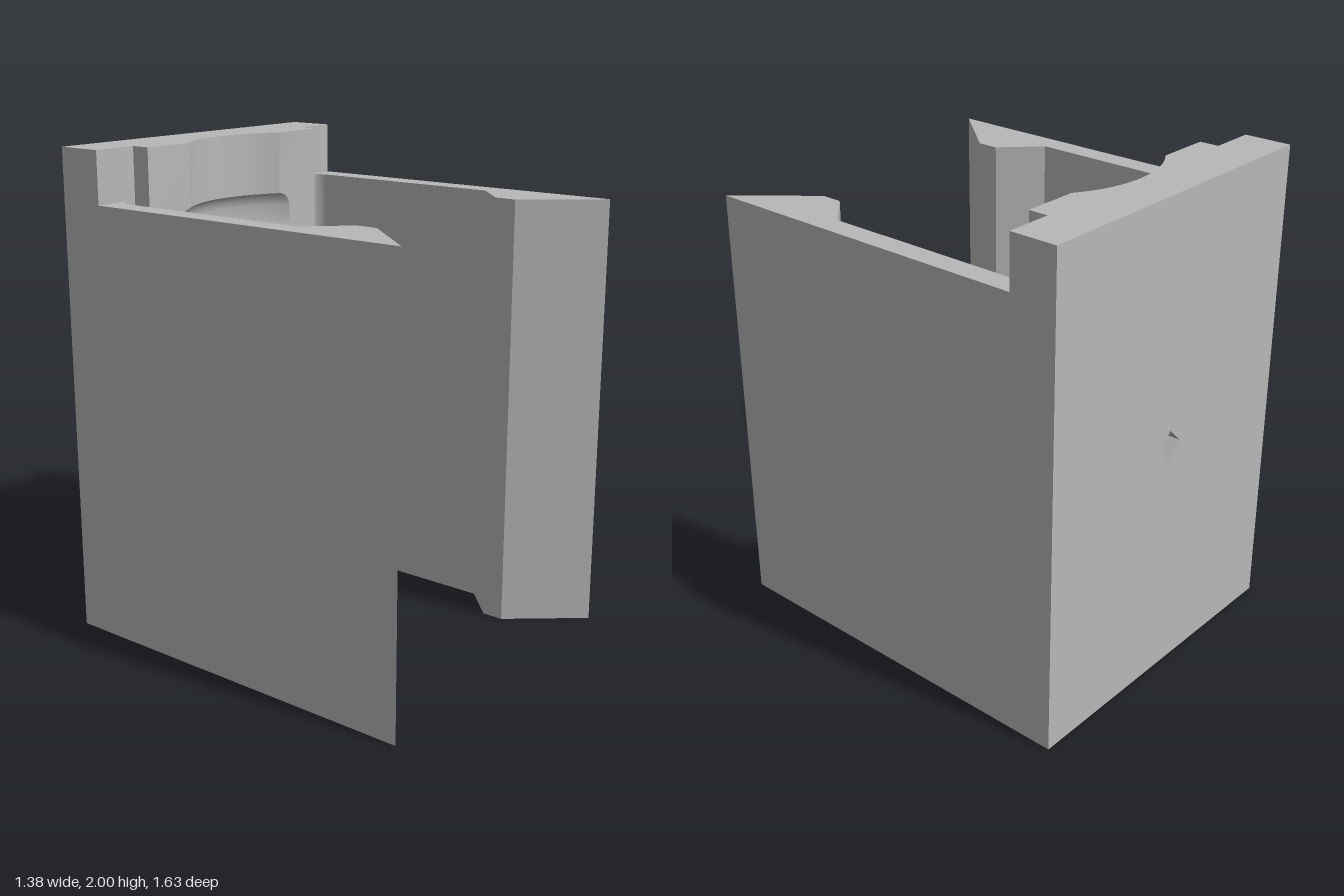
import * as THREE from 'three';
import { toCreasedNormals } from 'three/addons/utils/BufferGeometryUtils.js';

const BACK = -0.815, SEAM = -0.7, AXIS_Z = -0.14, ARC = 40;

// Closed plan section of the cradle: front plane at zf, round recess of half-width w at that plane
function section(zf, w) {
  const d = zf - AXIS_Z, r = Math.hypot(w, d), a0 = Math.atan2(w, -d);
  const pts = [[-0.5, SEAM], [-0.5, zf]];
  for (let i = 0; i <= ARC; i++) {
    const a = -a0 + (2 * a0 * i) / ARC;
    pts.push([r * Math.sin(a), AXIS_Z - r * Math.cos(a)]);
  }
  pts.push([0.5, zf], [0.5, SEAM]);
  return pts;
}

// Stack of sections joined into a wall; rows are [y, zf, w]
function loft(rows) {
  const rings = rows.map(([y, zf, w]) => section(zf, w).map(([x, z]) => [x, y, z]));
  const n = rings[0].length, pos = [];
  for (let i = 0; i < rings.length - 1; i++) {
    for (let j = 0; j < n; j++) {
      const k = (j + 1) % n;
      const a = rings[i][j], b = rings[i][k], c = rings[i + 1][k], d = rings[i + 1][j];
      pos.push(...a, ...b, ...c, ...a, ...c, ...d);
    }
  }
  const g = new THREE.BufferGeometry();
  g.setAttribute('position', new THREE.Float32BufferAttribute(pos, 3));
  return toCreasedNormals(g, 0.6);
}

function cap(pts, up) {
  const s = up ? -1 : 1;
  const shape = new THREE.Shape(pts.map(([x, z]) => new THREE.Vector2(x, s * z)));
  return new THREE.ShapeGeometry(shape).rotateX((s * Math.PI) / 2);
}

export function createModel() {
  const model = new THREE.Group();
  model.name = 'clipHolder';
  const grey = new THREE.MeshStandardMaterial({ color: 0xb8b8b8 });
  grey.name = 'grey';
  const add = (name, geometry, parent = model) => {
    const m = new THREE.Mesh(geometry, grey);
    m.name = name;
    parent.add(m);
    return m;
  };

  // Back panel with a small diamond recess
  const panel = new THREE.Shape([[-0.69, 0], [0.69, 0], [0.69, 2], [-0.69, 2]].map(p => new THREE.Vector2(...p)));
  const h = 0.064;
  panel.holes.push(new THREE.Path([[0, 1 - h], [-h, 1], [0, 1 + h], [h, 1]].map(p => new THREE.Vector2(...p))));
  add('backPanel', new THREE.ExtrudeGeometry(panel, { depth: SEAM - BACK, bevelEnabled: false }).translate(0, 0, BACK));

  // Cradle: bottom shelf with a half-round opening, then a tall wall with a grooved hollow
  const F = -0.14, W = -0.54;
  const rows = [
    [0, F, 0.245], [0.135, F, 0.255], [0.15, F, 0.275], [0.17, F, 0.29],
    [0.17, W, 0.255], [0.185, W, 0.275], [0.21, W, 0.287], [0.32, W, 0.292],
    [0.35, W, 0.301], [0.39, W, 0.305], [0.45, W, 0.302], [0.6, W, 0.291], [0.82, W, 0.283],
    [0.83, W, 0.305], [0.845, W, 0.328], [0.87, W, 0.336], [0.94, W, 0.336],
    [0.97, W, 0.325], [0.985, W, 0.3], [1.0, W, 0.28],
    [1.565, W, 0.272], [1.575, W, 0.305], [1.59, W, 0.325], [1.62, W, 0.331],
    [1.69, W, 0.331], [1.715, W, 0.32], [1.735, W, 0.298], [1.742, W, 0.275], [2, W, 0.275],
  ];
  const cradle = new THREE.Group();
  cradle.name = 'cradle';
  model.add(cradle);
  add('cradleWall', loft(rows), cradle);
  add('cradleTop', cap(section(W, 0.275), true).translate(0, 2, 0), cradle);
  add('cradleBottom', cap(section(F, 0.245), false), cradle);

  // Side arms with hooked tips and a rounded inner corner, mirrored
  for (const s of [1, -1]) {
    const side = s > 0 ? 'left' : 'right';
    const pts = [[0.5, SEAM], [0.69, SEAM], [0.69, 0.815], [0.447, 0.53], [0.447, 0.44], [0.595, 0.293]];
    for (let i = 0; i <= 8; i++) {
      const a = (i / 8) * Math.PI / 2;
      pts.push([0.52 + 0.075 * Math.cos(a), -0.545 - 0.075 * Math.sin(a)]);
    }
    pts.push([0.5, -0.62]);
    const arm = new THREE.Shape(pts.map(([x, z]) => new THREE.Vector2(s * x, -z)));
    const g = new THREE.ExtrudeGeometry(arm, { depth: 1.79, bevelEnabled: false }).rotateX(-Math.PI / 2);
    add(side + 'Arm', toCreasedNormals(g, 0.5));
    // Raised corner of the back above the arm
    add(side + 'Corner', new THREE.BoxGeometry(0.19, 0.21, 0.08).translate(s * 0.595, 1.895, -0.66));
  }
  return model;
}
